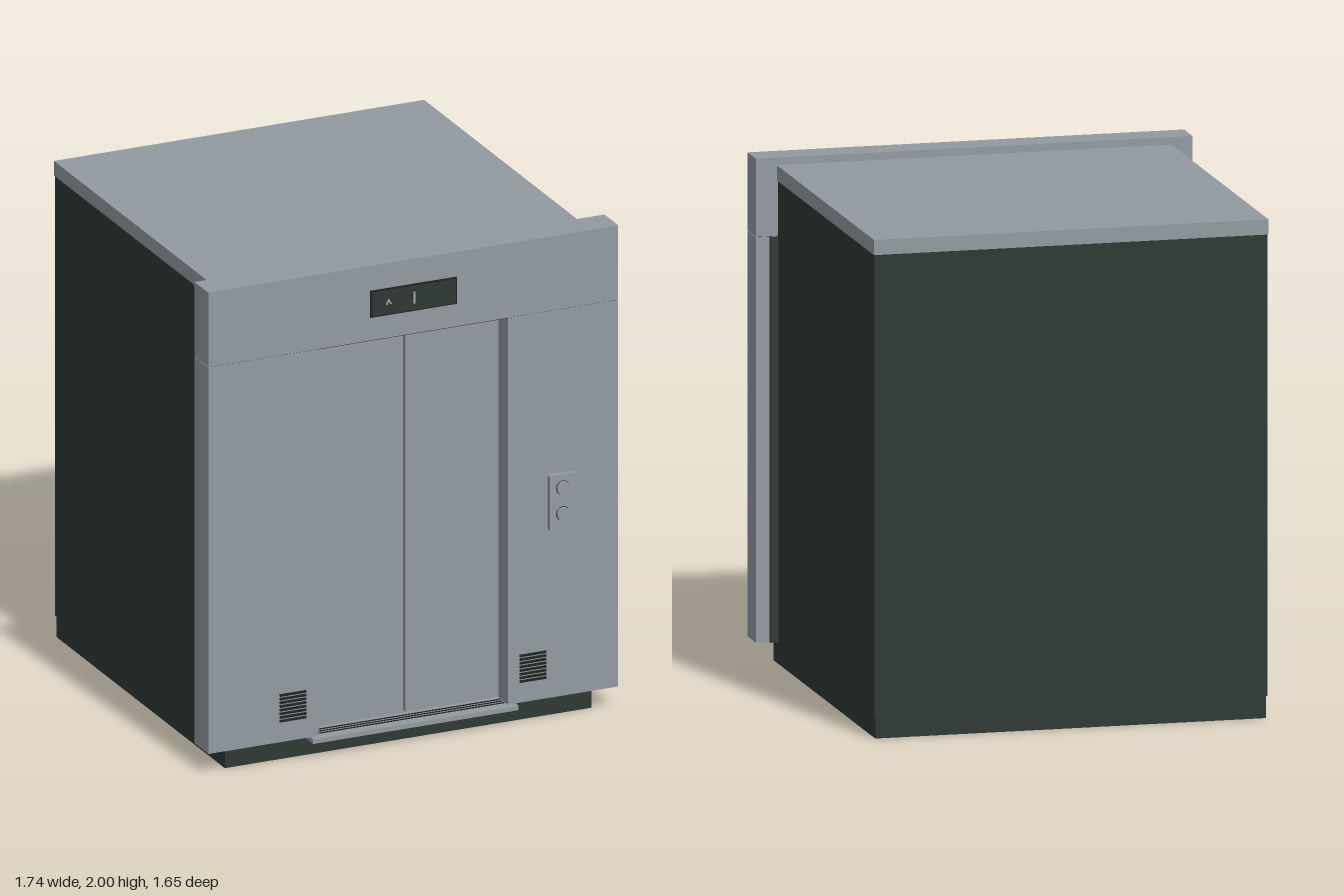
import * as THREE from 'three';

export function createModel() {
  const root = new THREE.Group();
  root.name = 'elevatorCar';
  const mat = (name, color) => {
    const m = new THREE.MeshStandardMaterial({ color });
    m.name = name;
    return m;
  };
  const steel = mat('steel', 0x929aa1);
  const dark = mat('darkPanel', 0x2e3835);
  const black = mat('darkSlot', 0x1f2524);
  const light = mat('displayMark', 0xa4abb0);

  const add = (name, geometry, material, parent = root) => {
    const mesh = new THREE.Mesh(geometry, material);
    mesh.name = name;
    parent.add(mesh);
    return mesh;
  };
  // Box given by its low and high limits on each axis
  const box = (name, material, [x0, x1], [y0, y1], [z0, z1], parent = root) => {
    const mesh = add(name, new THREE.BoxGeometry(x1 - x0, y1 - y0, z1 - z0), material, parent);
    mesh.position.set((x0 + x1) / 2, (y0 + y1) / 2, (z0 + z1) / 2);
    return mesh;
  };

  // Cabin body, base and roof
  box('base', dark, [-0.78, 0.78], [0, 0.088], [-0.815, 0.74]);
  box('cabin', dark, [-0.785, 0.785], [0.088, 1.91], [-0.82, 0.658]);
  box('roof', steel, [-0.788, 0.788], [1.91, 1.97], [-0.825, 0.66]);

  // Front wall: header over two side panels
  box('header', steel, [-0.872, 0.872], [1.692, 2], [0.66, 0.788]);
  for (const side of [-1, 1]) {
    const span = (a, b) => (side > 0 ? [a, b] : [-b, -a]);
    const name = side > 0 ? 'left' : 'right';
    box(name + 'FrontPanel', steel, span(0.403, 0.872), [0.09, 1.69], [0.66, 0.788]);
    box(name + 'BackFlange', dark, span(0.78, 0.818), [0.09, 1.69], [0.645, 0.66]);
    box(name + 'Door', steel, span(0.005, 0.401), [0.094, 1.692], [0.665, 0.705]);

    // Ventilation grille of dark slots
    const grille = new THREE.Group();
    grille.name = name + 'Grille';
    root.add(grille);
    const x = side > 0 ? 0.508 : -0.513;
    for (let i = 0; i < 8; i++) {
      const y = 0.178 + i * 0.0152;
      box('slot', black, [x - 0.056, x + 0.056], [y - 0.0045, y + 0.0045], [0.787, 0.794], grille);
    }
  }
  // Thin shadow joint under the header
  box('headerJoint', black, [-0.868, 0.868], [1.689, 1.693], [0.665, 0.785]);

  // Threshold with door tracks
  box('sill', steel, [-0.437, 0.437], [0.07, 0.089], [0.66, 0.812]);
  for (const z of [0.722, 0.742, 0.762]) {
    box('sillTrack', black, [-0.4, 0.4], [0.088, 0.091], [z - 0.004, z + 0.004]);
  }

  // Floor display with arrow and numeral bar
  const display = new THREE.Group();
  display.name = 'display';
  root.add(display);
  box('displayFrame', black, [-0.185, 0.183], [1.788, 1.898], [0.78, 0.796], display);
  box('displayScreen', dark, [-0.179, 0.177], [1.794, 1.892], [0.79, 0.8], display);
  box('displayBar', light, [-0.005, 0.003], [1.82, 1.87], [0.799, 0.802], display);
  const arrow = new THREE.Shape([
    [-0.013, -0.011], [-0.006, -0.011], [0, 0.002], [0.006, -0.011], [0.013, -0.011], [0, 0.013],
  ].map(([x, y]) => new THREE.Vector2(x, y)));
  add('displayArrow', new THREE.ExtrudeGeometry(arrow, { depth: 0.003, bevelEnabled: false }), light, display)
    .position.set(-0.11, 1.845, 0.799);

  // Call panel with two round buttons
  const call = new THREE.Group();
  call.name = 'callPanel';
  root.add(call);
  const w = 0.055, h = 0.115, r = 0.008;
  const plate = new THREE.Shape();
  plate.absarc(w - r, h - r, r, 0, Math.PI / 2);
  plate.absarc(r - w, h - r, r, Math.PI / 2, Math.PI);
  plate.absarc(r - w, r - h, r, Math.PI, Math.PI * 1.5);
  plate.absarc(w - r, r - h, r, Math.PI * 1.5, Math.PI * 2);
  add('callPlate', new THREE.ExtrudeGeometry(plate, { depth: 0.022, bevelEnabled: false, curveSegments: 4 }), steel, call)
    .position.set(0.627, 0.9, 0.785);
  for (const y of [0.853, 0.96]) {
    const rim = add('buttonRim', new THREE.CylinderGeometry(0.029, 0.029, 0.004, 32), black, call);
    const button = add('button', new THREE.CylinderGeometry(0.027, 0.027, 0.016, 32), steel, call);
    rim.rotation.x = button.rotation.x = Math.PI / 2;
    rim.position.set(0.627, y, 0.806);
    button.position.set(0.627, y, 0.813);
  }
  return root;
}
